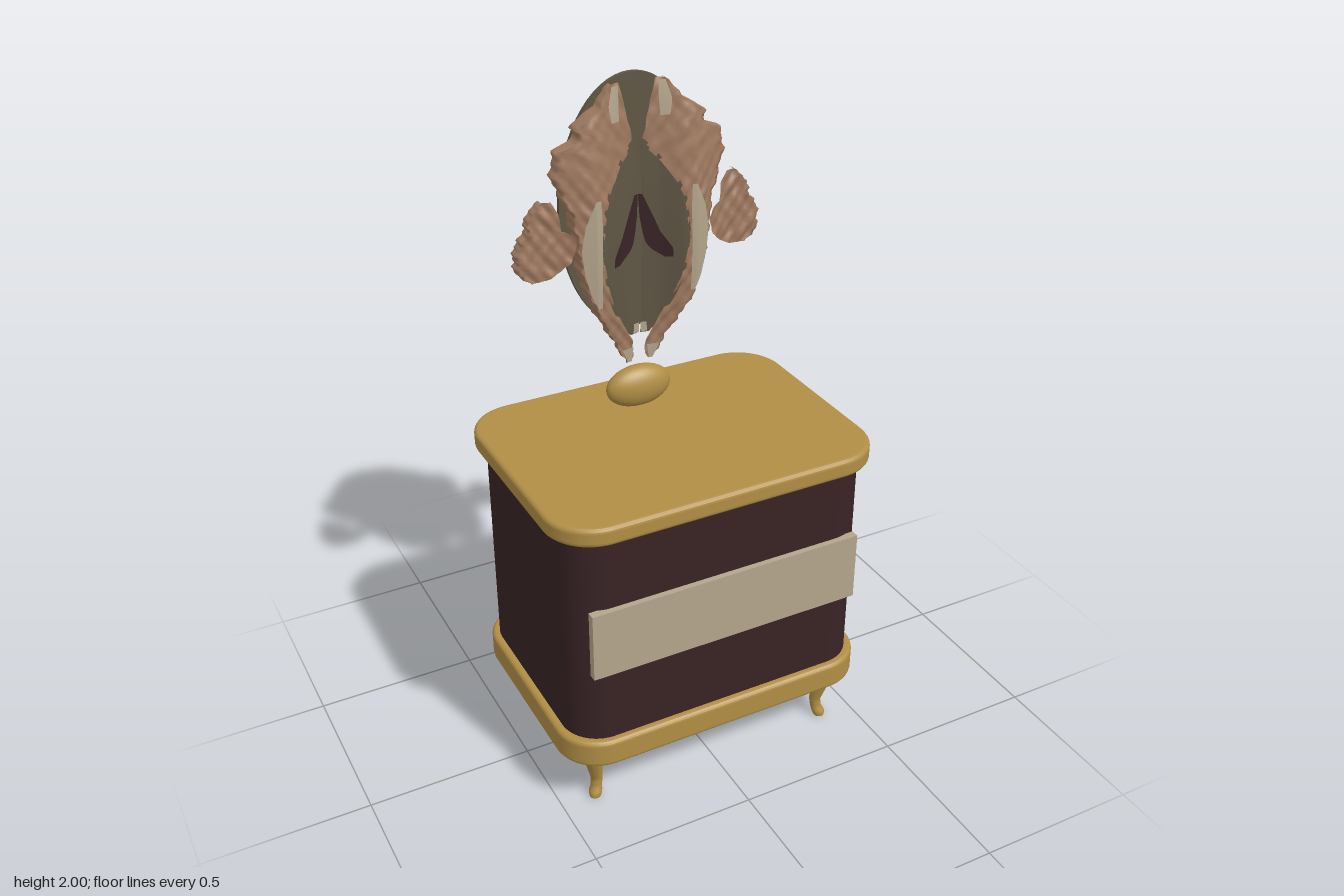
import * as THREE from 'three';

const mat = (name, color, side = THREE.FrontSide) => {
  const m = new THREE.MeshStandardMaterial({ color, side });
  m.name = name;
  return m;
};

// Linear lookup in rows sorted by descending first value
function lookup(rows, y) {
  let i = 0;
  while (i < rows.length - 2 && y < rows[i + 1][0]) i++;
  const a = rows[i], b = rows[i + 1];
  const t = THREE.MathUtils.clamp((a[0] - y) / (a[0] - b[0]), 0, 1);
  return a.map((v, k) => v + (b[k] - v) * t);
}

// Slab with rounded corners, lying flat, with softened edges
function slab(w, d, y0, y1, r, bevel) {
  const x = w - bevel, z = d - bevel, s = new THREE.Shape();
  s.moveTo(-x + r, -z);
  s.lineTo(x - r, -z);
  s.absarc(x - r, -z + r, r, -Math.PI / 2, 0);
  s.absarc(x - r, z - r, r, 0, Math.PI / 2);
  s.absarc(-x + r, z - r, r, Math.PI / 2, Math.PI);
  s.absarc(-x + r, -z + r, r, Math.PI, Math.PI * 1.5);
  const g = new THREE.ExtrudeGeometry(s, {
    depth: y1 - y0 - 2 * bevel, bevelEnabled: true, bevelSize: bevel,
    bevelThickness: bevel, bevelSegments: 4, curveSegments: 14,
  });
  return g.rotateX(-Math.PI / 2).translate(0, y0 + bevel, 0);
}

// Relief of the carved frame: valley in the middle, ridge on each half
const ridge = [[0.4, 0.25], [0.36, 0.4], [0.28, 0.35], [0.25, 0.45], [0.2, 0.75],
  [0.155, 1], [0.12, 0.88], [0.06, 0.35], [0, 0.03]];
function relief(x, y, rough) {
  const arch = Math.sqrt(Math.max(0, 1 - ((y - 1.58) / 0.45) ** 2));
  const bumps = Math.sin(x * 95 + Math.sin(y * 40)) * Math.sin(y * 72 + x * 30)
    + 0.6 * Math.sin(x * 170 - y * 120);
  return -0.2 + 0.066 * Math.pow(arch, 1.3) * lookup(ridge, x)[1] + rough * bumps;
}

// Relief sheet between an inner and an outer edge; rows are [y, inner, outer]
function sheet(rows, side, { lift = 0, rough = 0, jag = 0, skirt = false, n = 60, m = 14 } = {}) {
  const pos = [], idx = [], top = rows[0][0], bottom = rows[rows.length - 1][0];
  const cols = skirt ? m + 1 : m;
  for (let i = 0; i <= n; i++) {
    const y = top + (bottom - top) * i / n;
    const [, a, b] = lookup(rows, y);
    const edge = b + jag * (Math.sin(i * 1.9) + Math.sin(i * 0.83));
    for (let j = 0; j <= cols; j++) {
      const x = a + (edge - a) * Math.min(j / m, 1);
      const z = j > m ? -0.204 : Math.max(relief(x, y, rough), -0.203) + lift;
      pos.push(side * x, y, z);
      if (i < n && j < cols) {
        const p = i * (cols + 1) + j, q = p + cols + 1;
        if (side > 0) idx.push(p, q, p + 1, p + 1, q, q + 1);
        else idx.push(p, p + 1, q, p + 1, q + 1, q);
      }
    }
  }
  const g = new THREE.BufferGeometry();
  g.setAttribute('position', new THREE.Float32BufferAttribute(pos, 3));
  g.setIndex(idx);
  g.computeVertexNormals();
  return g;
}

// Curved leg: a cylinder bent outwards at hip and foot; profile is [y, radius, offset]
const legProfile = [[0.2, 0.031, 0.012], [0.15, 0.027, 0.012], [0.1, 0.022, 0.002],
  [0.06, 0.018, -0.005], [0.03, 0.017, -0.002], [0.015, 0.021, 0.004], [0, 0.017, 0.006]];
function leg(sx, sz) {
  const g = new THREE.CylinderGeometry(1, 1, 0.2, 16, 20).translate(0, 0.1, 0);
  const p = g.attributes.position;
  for (let i = 0; i < p.count; i++) {
    const [, r, o] = lookup(legProfile, p.getY(i));
    p.setX(i, p.getX(i) * r + sx * (0.388 + o));
    p.setZ(i, p.getZ(i) * r + sz * (0.262 + o));
  }
  g.computeVertexNormals();
  return g;
}

export function createModel() {
  const model = new THREE.Group();
  const gold = mat('gold', 0xb18e45);
  const wood = mat('dark wood', 0x382325);
  const cream = mat('cream', 0xb3a58c, THREE.DoubleSide);
  const olive = mat('mirror olive', 0x5f5644, THREE.DoubleSide);
  const brown = mat('carved brown', 0xa07a60, THREE.DoubleSide);
  const dark = mat('dark inlay', 0x382325, THREE.DoubleSide);
  const add = (name, geometry, material, parent = model) => {
    const mesh = new THREE.Mesh(geometry, material);
    mesh.name = name;
    parent.add(mesh);
    return mesh;
  };

  // Cabinet
  add('cabinetTop', slab(0.505, 0.375, 0.95, 1.008, 0.13, 0.014), gold);
  add('cabinetBody', slab(0.473, 0.343, 0.26, 0.96, 0.11, 0.004), wood);
  add('cabinetBase', slab(0.496, 0.366, 0.187, 0.275, 0.12, 0.014), gold);
  add('drawerFront', new THREE.BoxGeometry(0.85, 0.214, 0.025).translate(0, 0.621, 0.348), cream);
  for (const sx of [-1, 1]) for (const sz of [-1, 1]) add('leg', leg(sx, sz), gold);

  // Rounded knob under the mirror
  const knob = add('knob', new THREE.SphereGeometry(1, 32, 20), gold);
  knob.scale.set(0.104, 0.066, 0.046);
  knob.position.set(0, 1.064, -0.206);

  // Oval backing disc
  const disc = add('mirrorDisc', new THREE.CylinderGeometry(1, 1, 0.014, 64).rotateX(Math.PI / 2), olive);
  disc.scale.set(0.225, 0.375, 1);
  disc.position.set(0, 1.625, -0.233);

  // Carved frame, mirrored halves
  const frame = [[1.985, 0.055, 0.08], [1.93, 0.04, 0.13], [1.885, 0.03, 0.195], [1.85, 0.022, 0.19],
    [1.83, 0.016, 0.245], [1.8, 0.02, 0.252], [1.76, 0.06, 0.26], [1.7, 0.1, 0.238],
    [1.65, 0.12, 0.215], [1.55, 0.132, 0.202], [1.5, 0.13, 0.198], [1.42, 0.115, 0.178],
    [1.35, 0.09, 0.15], [1.28, 0.055, 0.112], [1.22, 0.022, 0.078], [1.17, 0.018, 0.052], [1.15, 0.03, 0.04]];
  const wing = [[1.695, 0.27, 0.295], [1.66, 0.25, 0.335], [1.61, 0.245, 0.345], [1.595, 0.212, 0.36],
    [1.57, 0.205, 0.375], [1.52, 0.22, 0.378], [1.49, 0.25, 0.365], [1.47, 0.29, 0.33]];
  const lining = [[1.82, 0.005, 0.02], [1.79, 0.008, 0.05], [1.76, 0.01, 0.07], [1.7, 0.01, 0.11],
    [1.65, 0.01, 0.128], [1.55, 0.012, 0.138], [1.42, 0.012, 0.125], [1.35, 0.01, 0.1],
    [1.28, 0.006, 0.065], [1.24, 0.004, 0.03]];
  const inlay = [[1.665, 0, 0.012], [1.6, 0.004, 0.04], [1.55, 0.012, 0.06], [1.52, 0.02, 0.08],
    [1.5, 0.035, 0.092], [1.475, 0.07, 0.092]];
  const panel = [[1.69, 0.14, 0.155], [1.62, 0.137, 0.185], [1.55, 0.139, 0.197], [1.48, 0.14, 0.19],
    [1.41, 0.14, 0.172], [1.37, 0.14, 0.152]];
  const crest = [[1.98, 0.06, 0.08], [1.93, 0.06, 0.095], [1.885, 0.062, 0.088]];
  const foot = [[1.2, 0.022, 0.06], [1.155, 0.028, 0.04]];
  const stem = [[1.48, 0.006, 0.012], [1.32, 0.006, 0.018], [1.25, 0.004, 0.022]];
  for (const side of [1, -1]) {
    const half = new THREE.Group();
    half.name = side > 0 ? 'leftFrameHalf' : 'rightFrameHalf';
    model.add(half);
    add('frame', sheet(frame, side, { rough: 0.003, jag: 0.003, skirt: true, n: 90 }), brown, half);
    add('wing', sheet(wing, side, { rough: 0.004, jag: 0.003, skirt: true, n: 40 }), brown, half);
    add('lining', sheet(lining, side), olive, half);
    add('inlay', sheet(inlay, side, { lift: 0.003, n: 20 }), dark, half);
    add('framePanel', sheet(panel, side, { lift: 0.006, n: 30 }), cream, half);
    add('frameCrest', sheet(crest, side, { lift: 0.006, n: 16, m: 6 }), cream, half);
    add('frameFoot', sheet(foot, side, { lift: 0.006, n: 10, m: 6 }), cream, half);
    add('stem', sheet(stem, side, { lift: 0.004, n: 20, m: 4 }), olive, half);
    add('stemFoot', sheet([[1.275, 0.003, 0.02], [1.245, 0.003, 0.022]], side, { lift: 0.006, n: 4, m: 4 }), cream, half);
  }
  return model;
}
